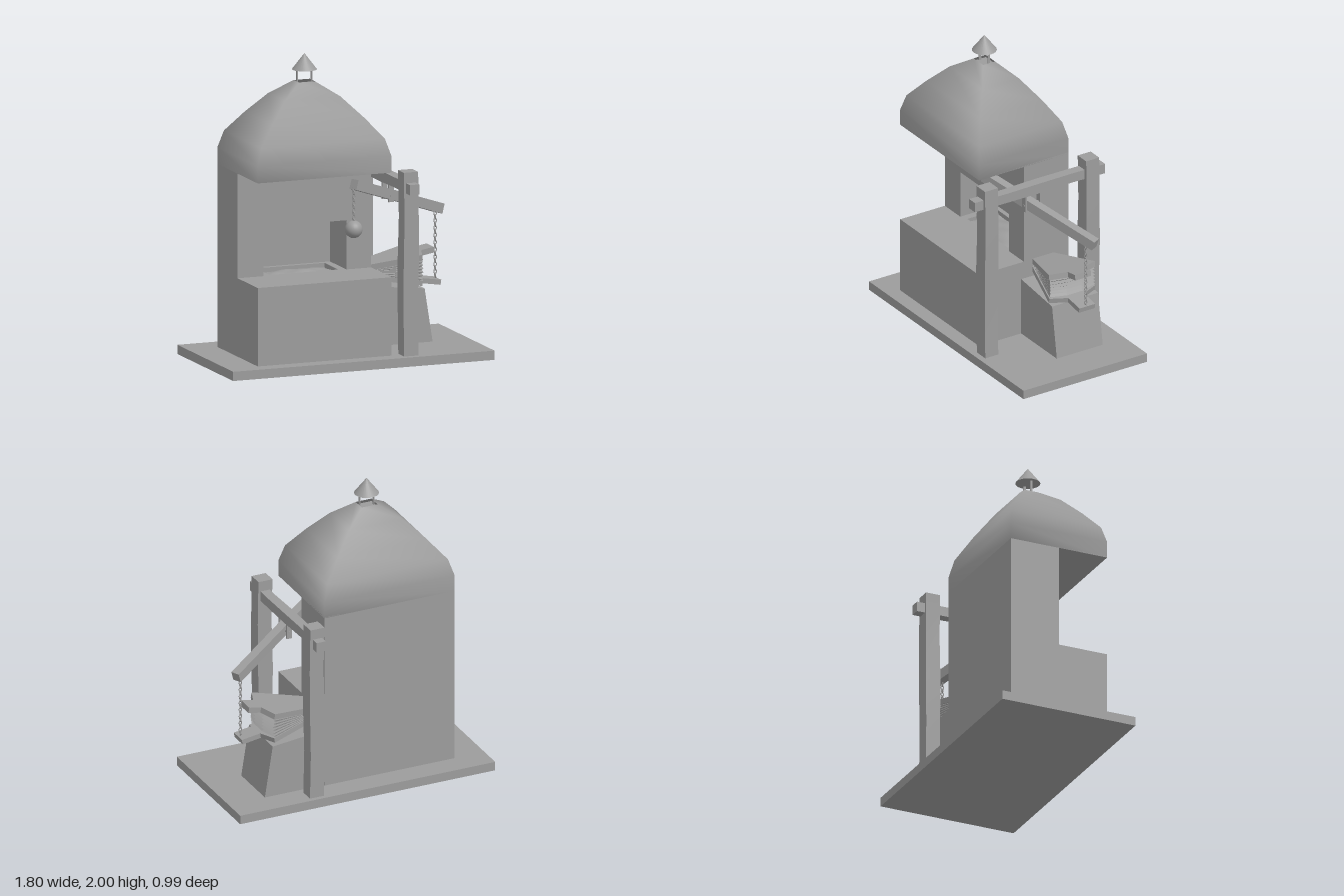
import * as THREE from 'three';
import { mergeVertices } from 'three/addons/utils/BufferGeometryUtils.js';

const mat = new THREE.MeshStandardMaterial({ color: 0x9c9c9c });
const thin = new THREE.MeshStandardMaterial({ color: 0x9c9c9c, side: THREE.DoubleSide });

function add(parent, name, geo, x = 0, y = 0, z = 0, material = mat) {
  const m = new THREE.Mesh(geo, material);
  m.name = name;
  m.position.set(x, y, z);
  parent.add(m);
  return m;
}

// Box given by its limits on each axis
function block(parent, name, [x0, x1], [y0, y1], [z0, z1]) {
  return add(parent, name, new THREE.BoxGeometry(x1 - x0, y1 - y0, z1 - z0),
    (x0 + x1) / 2, (y0 + y1) / 2, (z0 + z1) / 2);
}

const polygon = pts => new THREE.Shape(pts.map(p => new THREE.Vector2(...p)));
const extrude = (shape, depth) => new THREE.ExtrudeGeometry(shape, { depth, bevelEnabled: false });

// Skin over equal-length rows of points, smooth or flat shaded
function loft(rows, flat) {
  const n = rows[0].length, index = [];
  for (let i = 0; i < rows.length - 1; i++) {
    for (let j = 0; j < n - 1; j++) {
      const a = i * n + j;
      index.push(a, a + 1, a + n, a + 1, a + n + 1, a + n);
    }
  }
  let geo = new THREE.BufferGeometry();
  geo.setAttribute('position', new THREE.Float32BufferAttribute(rows.flat(2), 3));
  geo.setIndex(index);
  geo = flat ? geo.toNonIndexed() : mergeVertices(geo);
  geo.computeVertexNormals();
  return geo;
}

// Rough-hewn square timber along y
function timber(w, h) {
  const geo = new THREE.BoxGeometry(w, h, w, 1, 4, 1);
  const p = geo.attributes.position;
  for (let i = 0; i < p.count; i++) {
    const t = p.getY(i) / h, s = 1 + 0.04 * Math.cos(t * 9);
    p.setXYZ(i, p.getX(i) * s + 0.004 * Math.sin(t * 7), p.getY(i), p.getZ(i) * s);
  }
  geo.computeVertexNormals();
  return geo;
}

function chain(parent, name, x, yTop, yBottom, z) {
  const g = new THREE.Group();
  g.name = name;
  const n = Math.round((yTop - yBottom) / 0.024), step = (yTop - yBottom) / n;
  const link = new THREE.TorusGeometry(0.009, 0.0035, 6, 10).scale(1, 1.5, 1);
  for (let i = 0; i < n; i++) {
    add(g, 'chainLink', link, x, yTop - (i + 0.5) * step, z).rotation.y = (i % 2) * Math.PI / 2;
  }
  parent.add(g);
}

function buildForge(root) {
  const g = new THREE.Group();
  g.name = 'forge';
  root.add(g);

  // Hearth block with a fire pit
  const top = polygon([[-0.69, -0.37], [0.23, -0.37], [0.23, 0.31], [-0.69, 0.31]]);
  top.holes.push(new THREE.Path([[-0.46, -0.01], [-0.46, 0.22], [0.01, 0.22], [0.01, -0.01]]
    .map(p => new THREE.Vector2(...p))));
  add(g, 'hearth', extrude(top, 0.51).rotateX(-Math.PI / 2), 0, 0.06, 0);

  // Uneven coals
  const coal = new THREE.PlaneGeometry(0.47, 0.23, 20, 12).rotateX(-Math.PI / 2);
  const p = coal.attributes.position;
  for (let i = 0; i < p.count; i++) {
    const x = p.getX(i), z = p.getZ(i);
    const mound = (1 - (x / 0.235) ** 2) * (1 - (z / 0.115) ** 2);
    p.setY(i, 0.022 * mound + 0.005 * Math.sin(x * 30) * Math.cos(z * 35));
  }
  coal.computeVertexNormals();
  add(g, 'coals', coal, -0.225, 0.542, -0.105, thin);

  // Rear wall with the fire opening
  add(g, 'fireWall', extrude(polygon([[-0.69, 0.57], [-0.51, 0.57], [-0.51, 0.89], [0.06, 0.89],
    [0.06, 0.57], [0.23, 0.57], [0.23, 1.25], [-0.69, 1.25]]), 0.28), 0, 0, -0.25);
  block(g, 'backWall', [-0.69, 0.23], [0.57, 1.25], [-0.31, -0.25]);

  // Curved four-sided hood with soft corners: y, half width, half depth
  const profile = [[1.25, 0.46, 0.34], [1.36, 0.46, 0.34], [1.47, 0.425, 0.315],
    [1.60, 0.315, 0.235], [1.73, 0.19, 0.14], [1.82, 0.055, 0.045]];
  const corners = [[1, 1], [1, -1], [-1, -1], [-1, 1], [1, 1]];
  add(g, 'hood', loft(profile.map(([y, hx, hz]) => corners.map(([sx, sz]) => [sx * hx, y, sz * hz]))),
    -0.23, 0, 0.03, thin);
  block(g, 'hoodUnderside', [-0.69, 0.23], [1.25, 1.26], [-0.31, 0.37]);
  block(g, 'flueFloor', [-0.29, -0.17], [1.79, 1.80], [-0.02, 0.08]);

  // Chimney cap on two thin straps
  for (const s of [-1, 1]) {
    add(g, 'capStrap', new THREE.BoxGeometry(0.006, 0.12, 0.016), -0.23 + s * 0.05, 1.85, 0.03);
  }
  add(g, 'chimneyCap', new THREE.ConeGeometry(0.08, 0.105, 24), -0.23, 1.9475, 0.03);
}

function buildFrame(root) {
  const g = new THREE.Group();
  g.name = 'leverFrame';
  root.add(g);
  for (const z of [0.38, -0.39]) add(g, 'post', timber(0.1, 1.195), 0.342, 0.6575, z);
  add(g, 'crossBeam', timber(0.067, 0.99).rotateX(Math.PI / 2), 0.34, 1.153, 0);

  // Slanted lever
  const a = new THREE.Vector3(0.04, 1.157, 0.205), b = new THREE.Vector3(0.78, 0.88, -0.155);
  const lever = add(g, 'lever', new THREE.BoxGeometry(0.06, 0.065, a.distanceTo(b)));
  lever.position.copy(a).lerp(b, 0.5);
  lever.lookAt(b);

  // Hanger plates and pivot pin
  for (const z of [0.095, -0.015]) block(g, 'hanger', [0.322, 0.358], [1.0, 1.13], [z - 0.007, z + 0.007]);
  add(g, 'pivotPin', new THREE.CylinderGeometry(0.01, 0.01, 0.13, 12).rotateX(Math.PI / 2),
    0.34, 1.04, 0.04);

  chain(g, 'weightChain', 0.04, 1.14, 0.91, 0.20);
  add(g, 'counterweight', new THREE.SphereGeometry(0.057, 24, 16), 0.04, 0.865, 0.20);
  chain(g, 'bellowsChain', 0.73, 0.87, 0.42, -0.115);
}

function buildBellows(root) {
  add(root, 'bellowsStand', extrude(polygon([[0.23, 0.06], [0.645, 0.06], [0.59, 0.41], [0.23, 0.45]]),
    0.35), 0, 0, -0.3);

  const g = new THREE.Group();
  g.name = 'bellows';
  g.position.set(0.2, 0.525, -0.115);
  root.add(g);

  // Boards with a handle tab, hinged at the nozzle end
  function board(name, reach, angle, thickness, y) {
    const half = [[0, 0.07], [0.38, 0.175], [0.425, 0.06], [reach, 0.06]];
    const pts = [...half.map(([x, z]) => [x, -z]), ...half.reverse()];
    const geo = extrude(polygon(pts), thickness).rotateX(-Math.PI / 2).translate(0, y, 0);
    add(g, name, geo).rotation.z = angle;
  }
  board('topBoard', 0.51, 0.17, 0.037, 0.005);
  board('bottomBoard', 0.555, -0.155, 0.033, -0.038);

  // Pleated leather fanning between the boards
  const outline = [[0, 0.065], [0.38, 0.17], [0.41, 0.06], [0.41, -0.06], [0.38, -0.17], [0, -0.065], [0, 0.065]];
  const rings = [];
  for (let i = 0; i <= 12; i++) {
    const t = i / 12, angle = -0.155 + 0.325 * t, s = i % 2 ? 1 : 0.95;
    rings.push(outline.map(([x, z]) =>
      [x * s * Math.cos(angle), x * s * Math.sin(angle) - 0.005 + 0.01 * t, z * s]));
  }
  add(g, 'pleats', loft(rings, true), 0, 0, 0, thin);
}

export function createModel() {
  const root = new THREE.Group();
  root.name = 'forgeWithBellows';
  block(root, 'base', [-0.9, 0.9], [0, 0.06], [-0.47, 0.47]);
  buildForge(root);
  buildFrame(root);
  buildBellows(root);
  return root;
}
